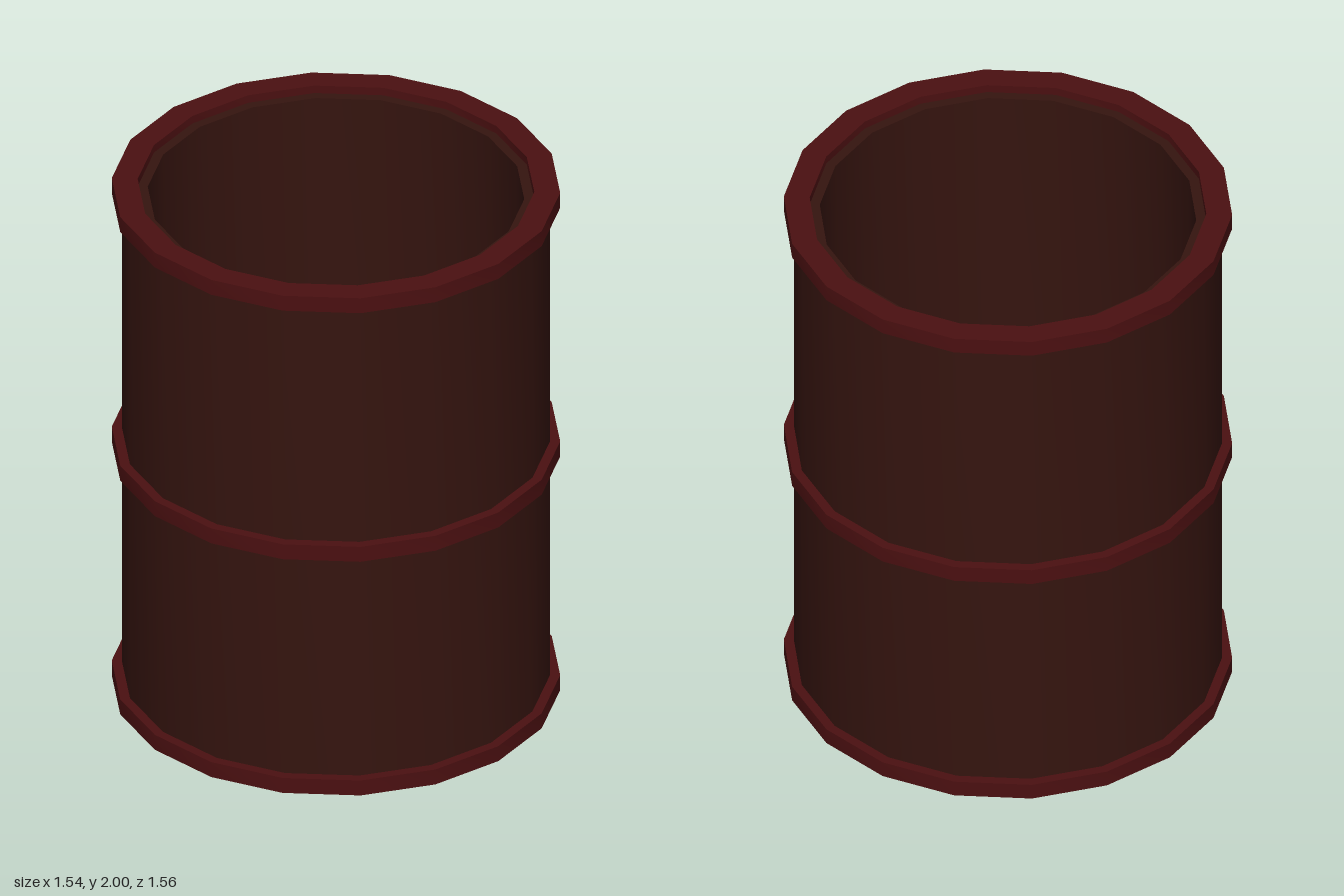
import * as THREE from 'three';
import { toCreasedNormals } from 'three/addons/utils/BufferGeometryUtils.js';

const SIDES = 18;

// Hollow ring with a rectangular section, smooth around and sharp at its edges
function tube(name, inner, outer, bottom, top, material) {
  const profile = [
    [inner, bottom], [outer, bottom], [outer, top], [inner, top], [inner, bottom],
  ].map(([r, y]) => new THREE.Vector2(r, y));
  const geometry = toCreasedNormals(new THREE.LatheGeometry(profile, SIDES), Math.PI / 6);
  const mesh = new THREE.Mesh(geometry, material);
  mesh.name = name;
  return mesh;
}

export function createModel() {
  const barrel = new THREE.Group();
  barrel.name = 'openBarrel';
  const wallMaterial = new THREE.MeshStandardMaterial({ color: 0x35140f });
  const hoopMaterial = new THREE.MeshStandardMaterial({ color: 0x4b1011 });

  // Open-ended wall, set slightly inside the end hoops
  barrel.add(tube('wall', 0.655, 0.745, 0.03, 1.97, wallMaterial));

  // Three raised hoops
  const hoops = { bottomHoop: 0, middleHoop: 0.94, topHoop: 1.94 };
  for (const [name, y] of Object.entries(hoops)) {
    barrel.add(tube(name, 0.69, 0.78, y, y + 0.06, hoopMaterial));
  }
  return barrel;
}
